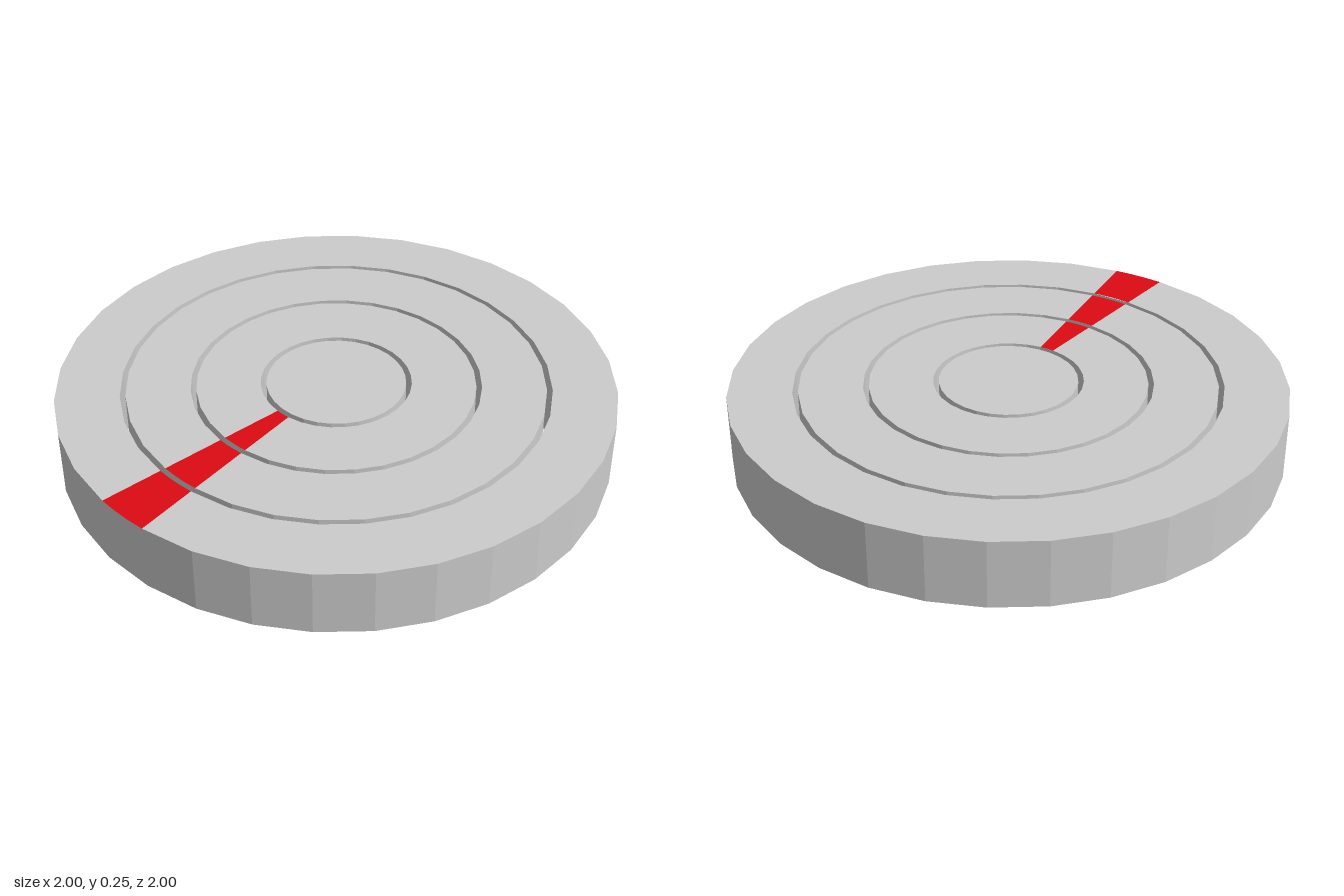
import * as THREE from 'three';

const SEGMENTS = 32;
const HEIGHT = 0.25;
const STEP = (Math.PI * 2) / SEGMENTS;

const grey = new THREE.MeshStandardMaterial({ color: 0xcccccc, flatShading: true });
const red = new THREE.MeshStandardMaterial({ color: 0xdd0a12, flatShading: true });

function addMesh(parent, name, geometry, material) {
  const mesh = new THREE.Mesh(geometry, material);
  mesh.name = name;
  parent.add(mesh);
  return mesh;
}

// Flat part of a ring's top face, covering a run of segments
function topFace(inner, outer, start, count) {
  return new THREE.RingGeometry(inner, outer, count, 1, start, count * STEP)
    .rotateX(-Math.PI / 2)
    .translate(0, HEIGHT, 0);
}

// Ring with one red segment on its top face
function createRing(name, inner, outer) {
  const ring = new THREE.Group();
  ring.name = name;

  // Inner wall, underside and outer wall
  const profile = [[inner, HEIGHT], [inner, 0], [outer, 0], [outer, HEIGHT]]
    .map(([r, y]) => new THREE.Vector2(r, y));
  addMesh(ring, name + 'Body', new THREE.LatheGeometry(profile, SEGMENTS), grey);

  addMesh(ring, name + 'Top', topFace(inner, outer, Math.PI, SEGMENTS - 1), grey);
  addMesh(ring, name + 'Marker', topFace(inner, outer, Math.PI - STEP, 1), red);
  return ring;
}

export function createModel() {
  const model = new THREE.Group();
  model.name = 'concentricDial';

  // Centre disc
  const disc = new THREE.CylinderGeometry(0.25, 0.25, HEIGHT, SEGMENTS);
  addMesh(model, 'centreDisc', disc, grey).position.y = HEIGHT / 2;

  // Three concentric rings separated by narrow gaps
  model.add(
    createRing('innerRing', 0.27, 0.5),
    createRing('middleRing', 0.52, 0.75),
    createRing('outerRing', 0.77, 1)
  );
  return model;
}
